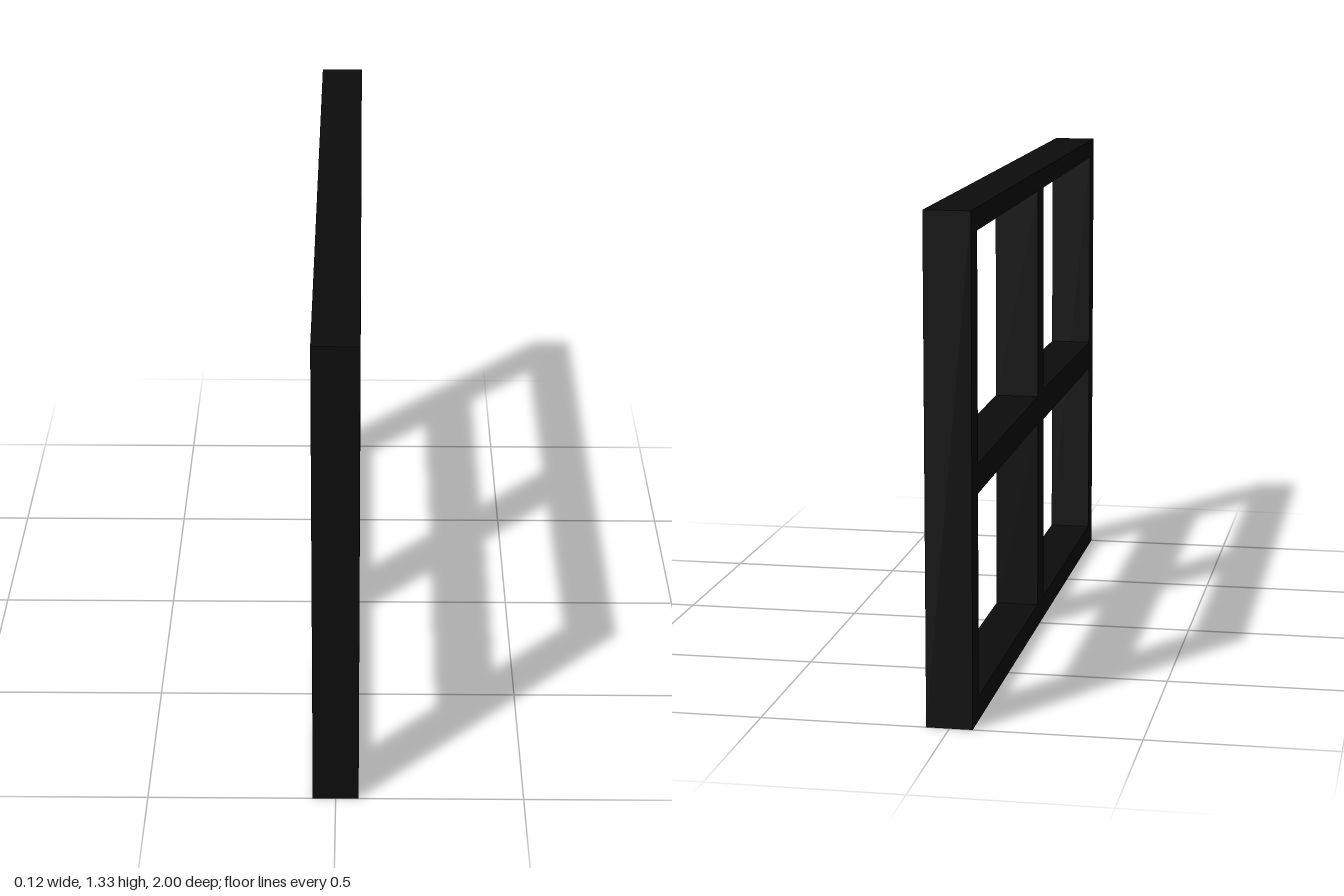
import * as THREE from 'three';

const DEPTH = 0.122;
const material = new THREE.MeshStandardMaterial({ color: 0x0c0c0c });

const points = (list) => list.map(([z, y]) => new THREE.Vector2(z, y));

// Extrudes a (z, y) outline through the frame's thickness along x.
function slab(name, outline, hole) {
  const shape = new THREE.Shape(points(outline));
  if (hole) shape.holes.push(new THREE.Path(points(hole)));
  const geometry = new THREE.ExtrudeGeometry(shape, { depth: DEPTH, bevelEnabled: false });
  geometry.translate(0, 0, -DEPTH / 2).rotateY(-Math.PI / 2);
  const mesh = new THREE.Mesh(geometry, material);
  mesh.name = name;
  return mesh;
}

export function createModel() {
  const group = new THREE.Group();
  group.name = 'windowFrame';

  // Outer frame with one large opening
  group.add(slab('outerFrame',
    [[-1, 0], [1, 0], [1, 1.333], [-1, 1.333]],
    [[-0.92, 0.065], [-0.922, 1.275], [0.928, 1.28], [0.928, 0.065]]));

  // Slightly uneven crossbar
  group.add(slab('crossbar', [
    [-0.92, 0.602], [-0.04, 0.605], [0.055, 0.6], [0.928, 0.595],
    [0.928, 0.68], [0.45, 0.685], [0.05, 0.69], [-0.04, 0.685], [-0.92, 0.68],
  ]));

  // Centre post, in an upper and a lower piece
  group.add(slab('upperPost', [[-0.04, 0.685], [0.053, 0.689], [0.046, 1.28], [-0.042, 1.277]]));
  group.add(slab('lowerPost', [[-0.036, 0.065], [0.059, 0.065], [0.055, 0.6], [-0.04, 0.605]]));

  return group;
}
